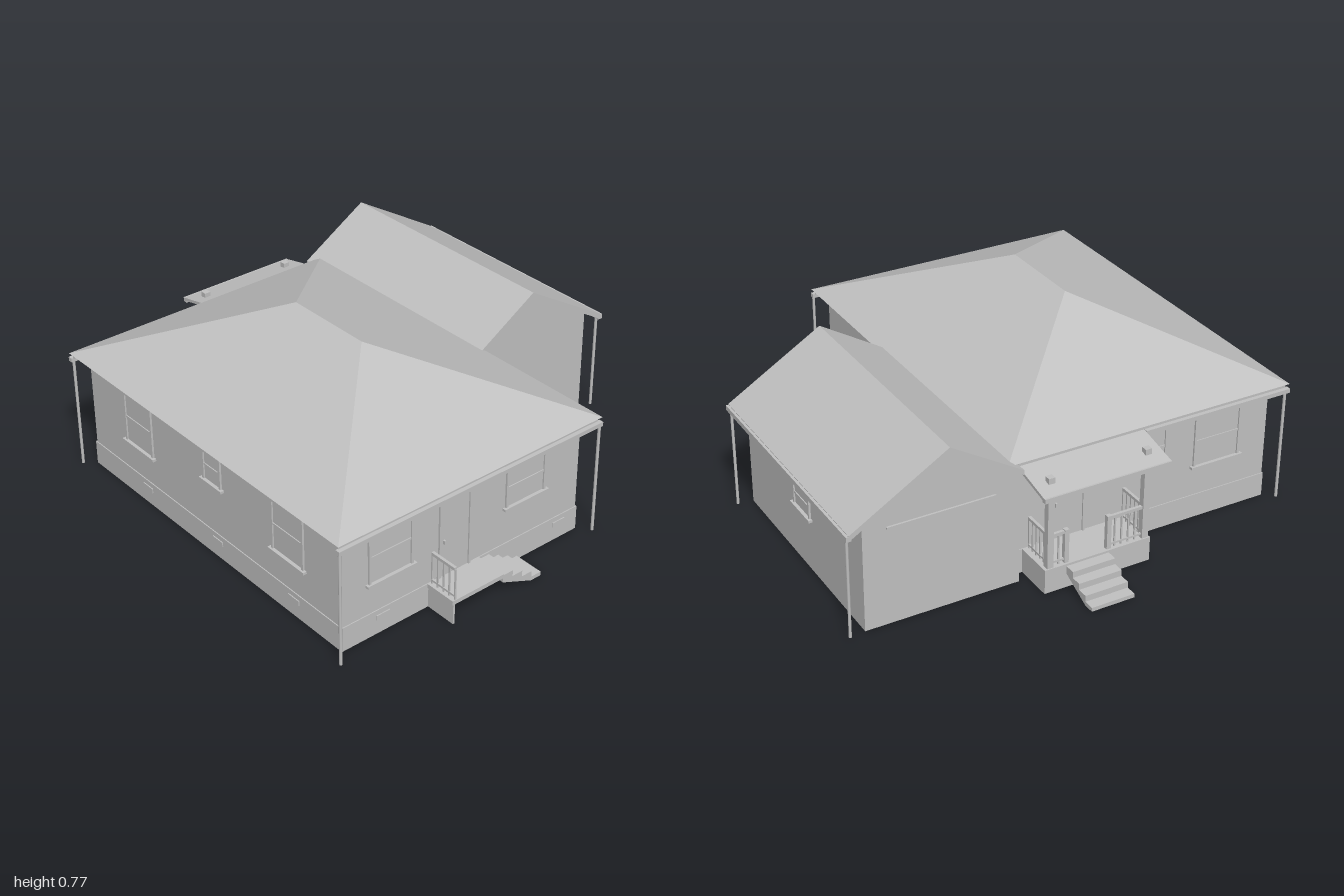
import * as THREE from 'three';

export function createModel() {
  const house = new THREE.Group();
  const grey = new THREE.MeshStandardMaterial({ color: 0xc0c0c0, side: THREE.DoubleSide });
  grey.name = 'plain grey';

  const add = (name, geo, parent = house) => {
    const m = new THREE.Mesh(geo, grey);
    m.name = name;
    parent.add(m);
    return m;
  };
  // box given by its minimum and maximum corners
  const box = (name, x0, x1, y0, y1, z0, z1, parent = house) => {
    const m = add(name, new THREE.BoxGeometry(x1 - x0, y1 - y0, z1 - z0), parent);
    m.position.set((x0 + x1) / 2, (y0 + y1) / 2, (z0 + z1) / 2);
    return m;
  };
  const shapeOf = (pts) => new THREE.Shape(pts.map(([x, y]) => new THREE.Vector2(x, y)));
  // profile in x,y pushed along z
  const extrude = (name, shape, z0, z1) => {
    const m = add(name, new THREE.ExtrudeGeometry(shape, { depth: z1 - z0, bevelEnabled: false }));
    m.position.z = z0;
    return m;
  };

  // main block on an open-bottomed plinth
  box('mainWalls', -0.88, 0.24, 0.1, 0.5, -0.66, 0.86);
  const plinth = shapeOf([[-0.884, -0.864], [0.244, -0.864], [0.244, 0.664], [-0.884, 0.664]]);
  plinth.holes.push(new THREE.Path([[-0.872, -0.852], [-0.872, 0.652], [0.232, 0.652], [0.232, -0.852]]
    .map(([x, y]) => new THREE.Vector2(x, y))));
  const base = extrude('plinth', plinth, 0, 0.1);
  base.position.set(0, 0, 0);
  base.rotation.x = -Math.PI / 2;

  // hip roof: four slopes and a soffit
  const A = [-0.94, 0.5, 0.92], B = [0.29, 0.5, 0.92], C = [0.29, 0.5, -0.71], D = [-0.94, 0.5, -0.71];
  const F = [-0.325, 0.77, 0.3], K = [-0.325, 0.77, -0.08];
  const tris = [A, B, F, B, C, K, B, K, F, C, D, K, D, A, F, D, F, K, A, D, C, A, C, B];
  const hip = new THREE.BufferGeometry();
  hip.setAttribute('position', new THREE.Float32BufferAttribute(tris.flat(), 3));
  hip.computeVertexNormals();
  add('hipRoof', hip);
  box('frontGutter', -0.94, 0.29, 0.465, 0.482, 0.905, 0.925);
  box('backGutter', -0.94, -0.29, 0.465, 0.482, -0.715, -0.695);
  box('frontFascia', -0.93, 0.28, 0.48, 0.5, 0.9, 0.908);
  box('backFascia', -0.93, 0.24, 0.48, 0.5, -0.698, -0.69);

  // side wing with gable roof
  extrude('wingWalls', shapeOf([[0.24, 0], [0.862, 0], [0.862, 0.448], [0.535, 0.645], [0.24, 0.468]]), -0.71, 0.27);
  extrude('wingRoof', shapeOf([[0.24, 0.488], [0.535, 0.667], [0.925, 0.433], [0.92, 0.413],
    [0.535, 0.645], [0.24, 0.468]]), -0.74, 0.3);
  box('wingGutter', 0.915, 0.935, 0.41, 0.43, -0.74, 0.3);
  box('backGableBar', 0.34, 0.77, 0.397, 0.405, -0.718, -0.71);

  // downpipes
  for (const [x, z, h] of [[0.285, 0.912, 0.47], [-0.928, -0.7, 0.47], [-0.928, 0.912, 0.47],
    [0.922, 0.28, 0.42], [0.922, -0.715, 0.42]]) {
    const pipe = add('downpipe', new THREE.CylinderGeometry(0.006, 0.006, h, 8));
    pipe.position.set(x, h / 2, z);
  }

  // windows and doors are drawn facing +z, then turned to their wall
  const opening = (name, wall, c, w, y0, y1, isDoor = false) => {
    const g = new THREE.Group();
    g.name = name;
    const h = w / 2, t = 0.01;
    box('pane', -h, h, y0, y1, 0, 0.002, g);
    for (const s of [-1, 1]) box('jamb', s * h - t / 2, s * h + t / 2, y0, y1, 0, 0.008, g);
    box('head', -h, h, y1 - t, y1, 0, 0.008, g);
    box('lintel', -h - 0.018, h + 0.018, y1 + 0.006, y1 + 0.016, 0, 0.014, g);
    if (isDoor) {
      box('handle', -h + 0.015, -h + 0.022, y0 + 0.14, y0 + 0.155, 0, 0.012, g);
    } else {
      box('sill', -h - 0.016, h + 0.016, y0 - 0.01, y0, 0, 0.016, g);
      const mid = (y0 + y1) / 2;
      box('meetingRail', -h, h, mid - 0.004, mid + 0.004, 0, 0.006, g);
    }
    if (wall === 'front') g.position.set(c, 0, 0.86);
    if (wall === 'back') g.position.set(c, 0, -0.66);
    if (wall === 'right') g.position.set(-0.88, 0, c);
    if (wall === 'wing') g.position.set(0.862, 0, c);
    g.rotation.y = { front: 0, back: Math.PI, right: -Math.PI / 2, wing: Math.PI / 2 }[wall];
    house.add(g);
  };
  opening('frontWindow', 'front', -0.665, 0.19, 0.23, 0.44);
  opening('frontWindow', 'front', -0.03, 0.185, 0.26, 0.422);
  opening('frontDoor', 'front', -0.37, 0.14, 0.1, 0.43, true);
  opening('backWindow', 'back', -0.65, 0.2, 0.23, 0.44);
  opening('backWindow', 'back', -0.34, 0.15, 0.28, 0.44);
  opening('backDoor', 'back', 0.01, 0.14, 0.1, 0.43, true);
  opening('sideWindow', 'right', -0.34, 0.17, 0.23, 0.44);
  opening('sideWindow', 'right', 0.13, 0.1, 0.315, 0.44);
  opening('sideWindow', 'right', 0.57, 0.17, 0.23, 0.44);
  opening('wingWindow', 'wing', -0.215, 0.13, 0.228, 0.32);

  // plinth vents
  for (const x of [-0.7, 0.15]) box('vent', x - 0.03, x + 0.03, 0.06, 0.08, 0.864, 0.868);
  for (const z of [-0.3, 0.15, 0.6]) box('vent', -0.888, -0.884, 0.06, 0.08, z - 0.03, z + 0.03);

  // thin zigzag stair, descending along +x from (0, 0.1) in its own frame
  const stair = (name, run, steps, width) => {
    const top = [], under = [], rise = 0.1 / steps, tread = run / steps;
    for (let i = 0; i < steps; i++) {
      const y = 0.1 - (i + 1) * rise + 0.016;
      top.push([i * tread, y], [(i + 1) * tread, y]);
      under.unshift([i * tread, Math.max(0, y - 0.022)], [(i + 1) * tread - 0.008, Math.max(0, y - 0.022)].slice());
    }
    const outline = [...top, [run, 0], [run - tread, 0], [0, 0.06]];
    const m = extrude(name, shapeOf(outline), 0, width);
    return m;
  };

  // railing between two points
  const railing = (name, x0, z0, x1, z1) => {
    const g = new THREE.Group();
    g.name = name;
    const len = Math.hypot(x1 - x0, z1 - z0), n = Math.max(2, Math.round(len / 0.027));
    box('topRail', 0, len, 0.225, 0.237, -0.006, 0.006, g);
    box('bottomRail', 0, len, 0.112, 0.12, -0.004, 0.004, g);
    for (let i = 0; i <= n; i++) {
      const x = (len * i) / n;
      box('baluster', x - 0.003, x + 0.003, 0.1, 0.228, -0.003, 0.003, g);
    }
    g.position.set(x0, 0, z0);
    g.rotation.y = Math.atan2(z0 - z1, x1 - x0);
    house.add(g);
  };

  // front porch with a side stair
  box('frontPorchSlab', -0.495, -0.25, 0.083, 0.1, 0.86, 0.995);
  box('frontPorchPanel', -0.492, -0.484, 0, 0.083, 0.86, 0.995);
  stair('frontStair', 0.19, 4, 0.125).position.set(-0.25, 0, 0.865);
  railing('frontRailing', -0.48, 0.87, -0.48, 0.99);

  // back porch
  box('backPorchBase', -0.25, 0.2, 0, 0.1, -0.825, -0.66);
  const backStair = stair('backStair', 0.175, 4, 0.18);
  backStair.rotation.y = Math.PI / 2;
  backStair.position.set(-0.07, 0, -0.825);
  for (const x of [-0.23, 0.175]) box('backPorchPost', x - 0.013, x + 0.013, 0.1, 0.478, -0.82, -0.795);
  for (const x of [-0.075, 0.105]) box('newel', x - 0.009, x + 0.009, 0.1, 0.24, -0.817, -0.799);
  railing('backRailing', -0.22, -0.808, -0.075, -0.808);
  railing('backRailing', 0.105, -0.808, 0.165, -0.808);
  for (const x of [-0.23, 0.175]) railing('backRailing', x, -0.8, x, -0.67);

  // lean-to roof of the back porch, profile in z,y swung across x
  const porchRoof = extrude('backPorchRoof', shapeOf([[0.68, 0.485], [0.875, 0.443], [0.875, 0.43], [0.68, 0.472]]), 0, 0.53);
  porchRoof.rotation.y = Math.PI / 2;
  porchRoof.position.set(-0.29, 0, 0);
  box('backPorchGutter', -0.29, 0.24, 0.425, 0.443, -0.882, -0.862);
  box('backPorchBeam', -0.243, 0.188, 0.42, 0.448, -0.816, -0.798);

  return house;
}
